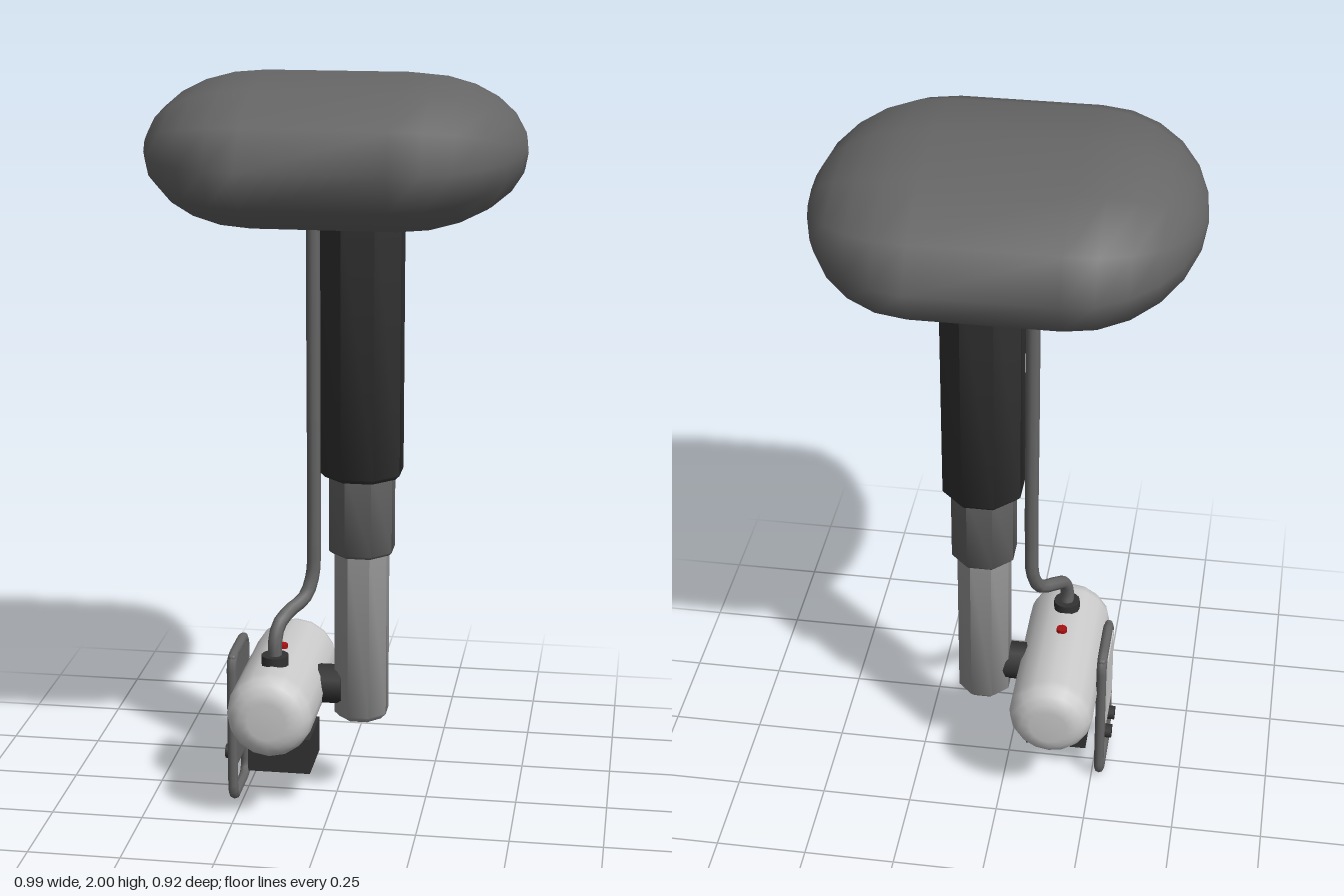
import * as THREE from 'three';
import { toCreasedNormals } from 'three/addons/utils/BufferGeometryUtils.js';
import { RoundedBoxGeometry } from 'three/addons/geometries/RoundedBoxGeometry.js';

const mat = (color) => new THREE.MeshStandardMaterial({ color });
const black = mat(0x333333), grey = mat(0x666666), silver = mat(0x999999), light = mat(0xcccccc), red = mat(0xaa1111);

export function createModel() {
  const model = new THREE.Group();
  const add = (name, geometry, material, x = 0, y = 0, z = 0) => {
    const mesh = new THREE.Mesh(geometry, material);
    mesh.name = name;
    mesh.position.set(x, y, z);
    model.add(mesh);
    return mesh;
  };

  // Domed top: a capsule lying across, squashed to an oval section
  const dome = new THREE.CapsuleGeometry(0.31, 0.37, 6, 12);
  dome.rotateZ(Math.PI / 2).scale(1, 0.2 / 0.31, 0.46 / 0.31);
  dome.computeVertexNormals();
  add('top', dome, grey, 0, 1.8, 0);

  // Telescopic column: eight-sided tubes with a small chamfer at the lower end
  const tube = (name, halfWidth, y0, y1, chamfer, material) => {
    const r = halfWidth / Math.cos(Math.PI / 8);
    const profile = [[0, y0], [r - chamfer, y0], [r, y0 + chamfer], [r, y1], [0, y1]].map((p) => new THREE.Vector2(...p));
    const geo = new THREE.LatheGeometry(profile, 8, Math.PI / 8);
    add(name, toCreasedNormals(geo, 0.77), material, 0.07, 0, 0.01);
  };
  tube('outerColumn', 0.106, 0.93, 1.68, 0.012, black);
  tube('middleColumn', 0.085, 0.715, 0.96, 0.008, grey);
  tube('innerColumn', 0.071, 0.24, 0.74, 0.016, silver);

  // Tube housing: a barrel with rounded ends, lying front to back
  const barrel = [];
  const corner = 0.065, half = 0.272, radius = 0.117;
  barrel.push(new THREE.Vector2(0, -half));
  for (let i = 0; i <= 4; i++) {
    const a = (i / 4) * Math.PI / 2;
    barrel.push(new THREE.Vector2(radius - corner + corner * Math.sin(a), -half + corner * (1 - Math.cos(a))));
  }
  for (let i = barrel.length - 1; i >= 0; i--) barrel.push(new THREE.Vector2(barrel[i].x, -barrel[i].y));
  add('tubeHousing', new THREE.LatheGeometry(barrel, 16).rotateX(Math.PI / 2), light, -0.145, 0.32, 0.028);

  // Pivot between the column and the housing
  add('pivot', new THREE.CylinderGeometry(0.054, 0.054, 0.09, 12).rotateZ(Math.PI / 2), black, -0.025, 0.33, 0.02);

  // Collimator: neck, hollow box open below, window with a small lens
  add('collimatorNeck', new THREE.CylinderGeometry(0.04, 0.04, 0.05, 12), black, -0.145, 0.205, 0.022);
  const square = (shape, h) => shape.moveTo(-h, -h).lineTo(h, -h).lineTo(h, h).lineTo(-h, h).closePath();
  const boxShape = square(new THREE.Shape(), 0.086);
  boxShape.holes.push(square(new THREE.Path(), 0.045));
  const box = new THREE.ExtrudeGeometry(boxShape, { depth: 0.1, bevelEnabled: false }).rotateX(-Math.PI / 2);
  add('collimatorBox', box, black, -0.145, 0.095, 0.022);
  add('collimatorLid', new THREE.BoxGeometry(0.12, 0.08, 0.12), black, -0.145, 0.155, 0.022);
  add('collimatorWindow', new THREE.BoxGeometry(0.07, 0.01, 0.07), grey, -0.145, 0.113, 0.022);
  add('collimatorLens', new THREE.CylinderGeometry(0.015, 0.015, 0.01, 10), light, -0.145, 0.108, 0.022);

  // Cable with its fitting and the indicator on top of the housing
  const cable = new THREE.CatmullRomCurve3([
    [-0.06, 1.68, 0.02], [-0.06, 1.2, 0.02], [-0.06, 0.75, 0.02], [-0.064, 0.64, 0.022],
    [-0.082, 0.585, 0.045], [-0.115, 0.562, 0.09], [-0.138, 0.535, 0.135], [-0.145, 0.49, 0.155], [-0.145, 0.44, 0.155],
  ].map((p) => new THREE.Vector3(...p)));
  add('cable', new THREE.TubeGeometry(cable, 48, 0.019, 8), grey);
  add('cableFitting', new THREE.CylinderGeometry(0.037, 0.037, 0.035, 12), black, -0.145, 0.44, 0.155);
  add('indicator', new THREE.CylinderGeometry(0.015, 0.015, 0.014, 10), red, -0.145, 0.439, 0.04);

  // Control panel: plate, screen and two knobs on the outer side
  const px = -0.272, pz = 0.022;
  add('panelPlate', new RoundedBoxGeometry(0.022, 0.33, 0.19, 2, 0.009), grey, px, 0.268, pz);
  add('panelScreen', new THREE.BoxGeometry(0.01, 0.225, 0.145), light, px - 0.011, 0.3, pz);
  for (const s of [-1, 1]) {
    add('knob', new THREE.CylinderGeometry(0.02, 0.02, 0.024, 10).rotateZ(Math.PI / 2), black, px - 0.017, 0.13, pz + s * 0.04);
  }

  // Handle: a bent rod framing the panel and looping below it
  const loop = new THREE.CurvePath();
  const w = 0.094, bottom = 0.014, top = 0.426, c = 0.04;
  const at = (y, z) => new THREE.Vector3(px, y, pz + z);
  const ends = [[bottom, -w], [bottom, w], [top, w], [top, -w]];
  ends.forEach(([y, z], i) => {
    const [py, pzz] = ends[(i + 3) % 4], [ny, nz] = ends[(i + 1) % 4];
    const toward = (ty, tz) => at(y + Math.sign(ty - y) * c, z + Math.sign(tz - z) * c);
    const next = (i + 1) % 4, [ey, ez] = ends[next];
    loop.add(new THREE.QuadraticBezierCurve3(toward(py, pzz), at(y, z), toward(ny, nz)));
    loop.add(new THREE.LineCurve3(toward(ny, nz), at(ey - Math.sign(ey - y) * c, ez - Math.sign(ez - z) * c)));
  });
  add('handleLoop', new THREE.TubeGeometry(loop, 72, 0.014, 8, true), grey);

  return model;
}
